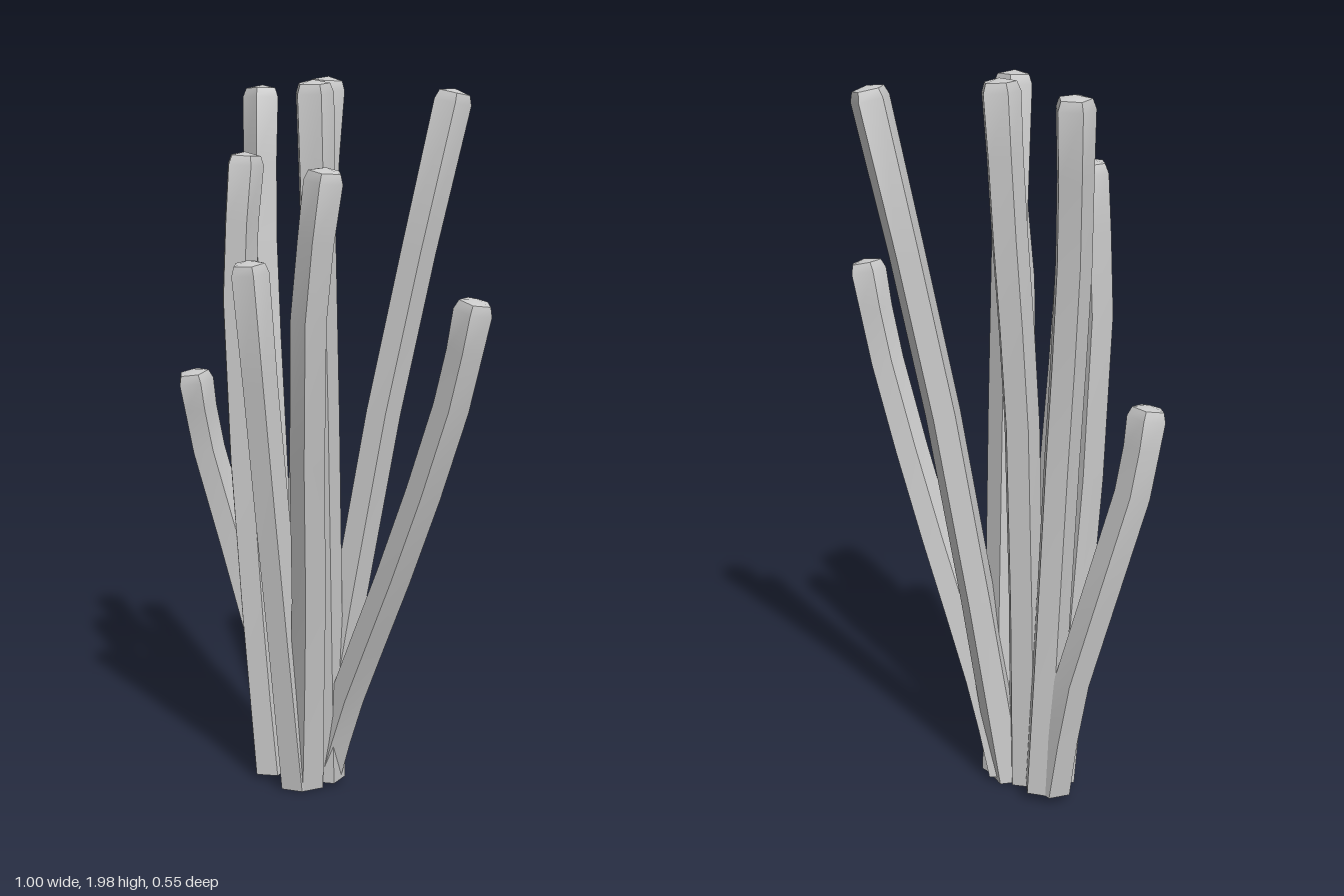
import * as THREE from 'three';
import { toCreasedNormals } from 'three/addons/utils/BufferGeometryUtils.js';

const SIDES = 5;
const RADIUS = 0.05;

// Five-sided stalk lofted along a curve, with a flat foot and a bevelled tip
function stalkGeometry(curve, phase) {
  const positions = [];
  const rings = [];

  const addRing = (center, tangent, r) => {
    const u = new THREE.Vector3(1, 0, 0).addScaledVector(tangent, -tangent.x).normalize();
    const v = u.clone().cross(tangent);
    const ring = [];
    for (let j = 0; j < SIDES; j++) {
      const a = phase + (j / SIDES) * Math.PI * 2;
      ring.push(center.clone().addScaledVector(u, Math.cos(a) * r).addScaledVector(v, Math.sin(a) * r));
    }
    rings.push(ring);
  };
  const tri = (...corners) => corners.forEach((c) => positions.push(c.x, c.y, c.z));

  // body, with the foot cut nearly level
  const foot = curve.getPoint(0);
  const footAxis = curve.getTangent(0).multiply(new THREE.Vector3(0.4, 1, 0.4)).normalize();
  addRing(foot, footAxis, RADIUS * 1.06);
  const steps = (curve.points.length - 1) * 2;
  for (let i = 1; i < steps; i++) addRing(curve.getPoint(i / steps), curve.getTangent(i / steps), RADIUS);

  // bevelled tip
  const end = curve.getPoint(1);
  const tip = curve.getTangent(1);
  addRing(end.clone().addScaledVector(tip, -0.035), tip, RADIUS * 1.07);
  addRing(end.clone().addScaledVector(tip, -0.01), tip, RADIUS * 0.88);

  const top = rings[rings.length - 1];
  for (let j = 0; j < SIDES; j++) {
    const k = (j + 1) % SIDES;
    for (let i = 0; i < rings.length - 1; i++) {
      const [lower, upper] = [rings[i], rings[i + 1]];
      tri(lower[j], upper[j], lower[k]);
      tri(upper[j], upper[k], lower[k]);
    }
    tri(end, top[k], top[j]);
    tri(foot, rings[0][j], rings[0][k]);
  }
  const geometry = new THREE.BufferGeometry();
  geometry.setAttribute('position', new THREE.Float32BufferAttribute(positions, 3));
  return toCreasedNormals(geometry, 0.8);
}

export function createModel() {
  const group = new THREE.Group();
  group.name = 'stalkCluster';
  const material = new THREE.MeshStandardMaterial({ color: 0xcccccc });

  // A stalk rises from its foot through its bends to its tip; turn is in degrees
  const addStalk = (name, turn, ...path) => {
    const curve = new THREE.CatmullRomCurve3(path.map((p) => new THREE.Vector3(...p)));
    const mesh = new THREE.Mesh(stalkGeometry(curve, THREE.MathUtils.degToRad(turn)), material);
    mesh.name = name;
    group.add(mesh);
  };

  // right side
  addStalk('tallRightStalk', -20, [-0.06, 0.02, -0.06], [0.1, 1.1, -0.14], [0.26, 1.97, -0.23]);
  addStalk('rightStalk', 0, [-0.04, 0.03, -0.06], [0.05, 0.3, -0.045], [0.21, 0.68, -0.015],
    [0.39, 1.17, 0.01], [0.455, 1.455, 0.01]);
  addStalk('frontRightStalk', 0, [-0.06, 0.02, 0], [0, 0.6, 0.08], [0.085, 1.4, 0.215], [0.14, 1.785, 0.225]);

  // middle
  addStalk('frontStalk', -100, [-0.08, 0.02, 0.02], [-0.1, 0.85, 0.12], [-0.12, 1.535, 0.19]);
  addStalk('tallMiddleStalk', 180, [-0.025, 0.03, -0.05], [-0.01, 1.1, 0.005], [0, 1.995, 0.06]);
  addStalk('tallBackStalk', 0, [-0.11, 0.02, -0.05], [-0.12, 1.1, -0.105], [-0.1, 1.6, -0.135], [-0.075, 2, -0.14]);

  // left side
  addStalk('tallLeftStalk', -70, [-0.19, 0.04, -0.1], [-0.235, 1, -0.095], [-0.275, 1.55, -0.115], [-0.295, 1.975, -0.15]);
  addStalk('leftStalk', 180, [-0.19, 0.03, -0.01], [-0.225, 0.5, 0.005], [-0.282, 1.4, 0], [-0.267, 1.8, -0.02]);
  addStalk('shortLeftStalk', 180, [-0.22, 0.04, -0.09], [-0.285, 0.4, -0.1], [-0.43, 0.95, -0.055], [-0.453, 1.185, -0.02]);
  return group;
}
